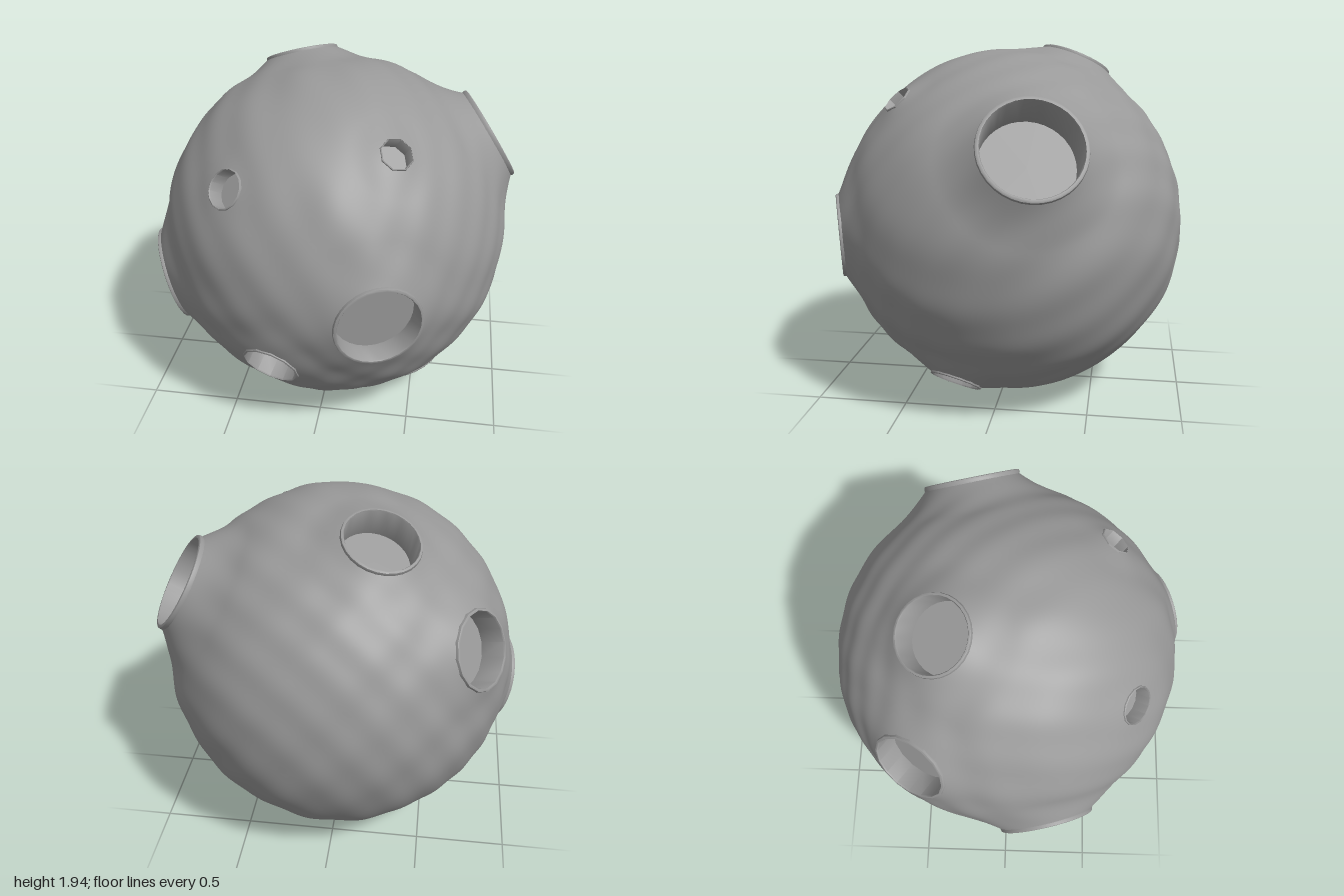
import * as THREE from 'three';
import { mergeVertices, toCreasedNormals } from 'three/addons/utils/BufferGeometryUtils.js';

const CENTRE = new THREE.Vector3(0.012, 0.965, -0.02);
const RADIUS = 0.958;
const UP = new THREE.Vector3(0, 1, 0);

// Craters: rim centre, rim radius, floor depth, number of sides
const craters = [
  { at: [0.36, 0.917, 0.892], r: 0.231, depth: 0.12, sides: 28 },
  { at: [-0.21, 0.545, 0.815], r: 0.16, depth: 0.14, sides: 12 },
  { at: [-0.438, 1.487, 0.655], r: 0.108, depth: 0.09, sides: 14 },
  { at: [0.388, 1.674, 0.534], r: 0.09, depth: 0.08, sides: 8 },
  { at: [-0.9, 0.693, 0.238], r: 0.27, depth: 0.24, sides: 36 },
  { at: [0.853, 1.492, -0.24], r: 0.271, depth: 0.24, sides: 36 },
  { at: [-0.235, 1.863, -0.363], r: 0.206, depth: 0.17, sides: 28 },
  { at: [-0.76, 1.355, -0.49], r: 0.213, depth: 0.14, sides: 16 },
  { at: [0.533, 0.168, 0.21], r: 0.147, depth: 0.13, sides: 14 },
].map((c) => {
  const offset = new THREE.Vector3(...c.at).sub(CENTRE);
  const height = offset.length();
  const hole = c.r * 0.93;
  return { ...c, height, axis: offset.normalize(), angle: Math.atan(hole / height), reach: Math.hypot(hole, height) };
});

// Gentle lumps over the whole body
function lumps(n) {
  return 0.004 * Math.sin(7 * n.x + 3 * n.y + 1) * Math.sin(6 * n.y - 4 * n.z)
    + 0.005 * Math.sin(19 * n.x - 8 * n.z) * Math.sin(17 * n.y + 11 * n.z + 2);
}

// Body: a sphere drawn up to each crater rim, with a round opening there
function makeBody() {
  const raw = new THREE.IcosahedronGeometry(1, 44);
  raw.deleteAttribute('uv');
  raw.deleteAttribute('normal');
  const geo = mergeVertices(raw, 1e-5);
  const pos = geo.attributes.position;
  const owner = new Array(pos.count).fill(-1);
  const n = new THREE.Vector3();
  const side = new THREE.Vector3();
  for (let i = 0; i < pos.count; i++) {
    n.fromBufferAttribute(pos, i).normalize();
    let radius = RADIUS + lumps(n);
    craters.forEach((c, k) => {
      const theta = n.angleTo(c.axis);
      if (theta < c.angle) {
        // slide points inside the opening out to its edge
        owner[i] = k;
        side.copy(n).addScaledVector(c.axis, -n.dot(c.axis)).normalize();
        n.copy(c.axis).multiplyScalar(Math.cos(c.angle)).addScaledVector(side, Math.sin(c.angle));
      }
      const spread = 0.1 + 0.65 * c.angle;
      const t = THREE.MathUtils.clamp(1 - (theta - c.angle) / spread, 0, 1);
      radius = THREE.MathUtils.lerp(radius, c.reach - 0.008, t * t);
    });
    n.multiplyScalar(radius);
    pos.setXYZ(i, n.x, n.y, n.z);
  }
  // Leave out the faces that would close the openings
  const index = geo.index.array;
  const kept = [];
  for (let i = 0; i < index.length; i += 3) {
    const [a, b, c] = [index[i], index[i + 1], index[i + 2]];
    if (owner[a] >= 0 && owner[a] === owner[b] && owner[b] === owner[c]) continue;
    kept.push(a, b, c);
  }
  geo.setIndex(kept);
  geo.computeVertexNormals();
  return geo;
}

// Crater: raised lip, straight wall and flat floor
function makeCrater({ r, depth, sides }) {
  const inner = r * 0.92 - 0.002;
  const profile = [
    [r - 0.006, -0.035], [r, -0.016], [r - 0.003, -0.003], [r - 0.008, 0],
    [inner + 0.004, 0], [inner, -0.006], [inner, -depth], [0, -depth],
  ].map(([x, y]) => new THREE.Vector2(x, y));
  return toCreasedNormals(new THREE.LatheGeometry(profile, sides), 0.65);
}

export function createModel() {
  const group = new THREE.Group();
  group.name = 'asteroid';
  const material = new THREE.MeshStandardMaterial({ color: 0x999999 });

  const body = new THREE.Mesh(makeBody(), material);
  body.name = 'rockBody';
  body.position.copy(CENTRE);
  group.add(body);

  craters.forEach((c, i) => {
    const crater = new THREE.Mesh(makeCrater(c), material);
    crater.name = `crater${i + 1}`;
    crater.position.set(...c.at);
    crater.quaternion.setFromUnitVectors(UP, c.axis);
    group.add(crater);
  });
  return group;
}
